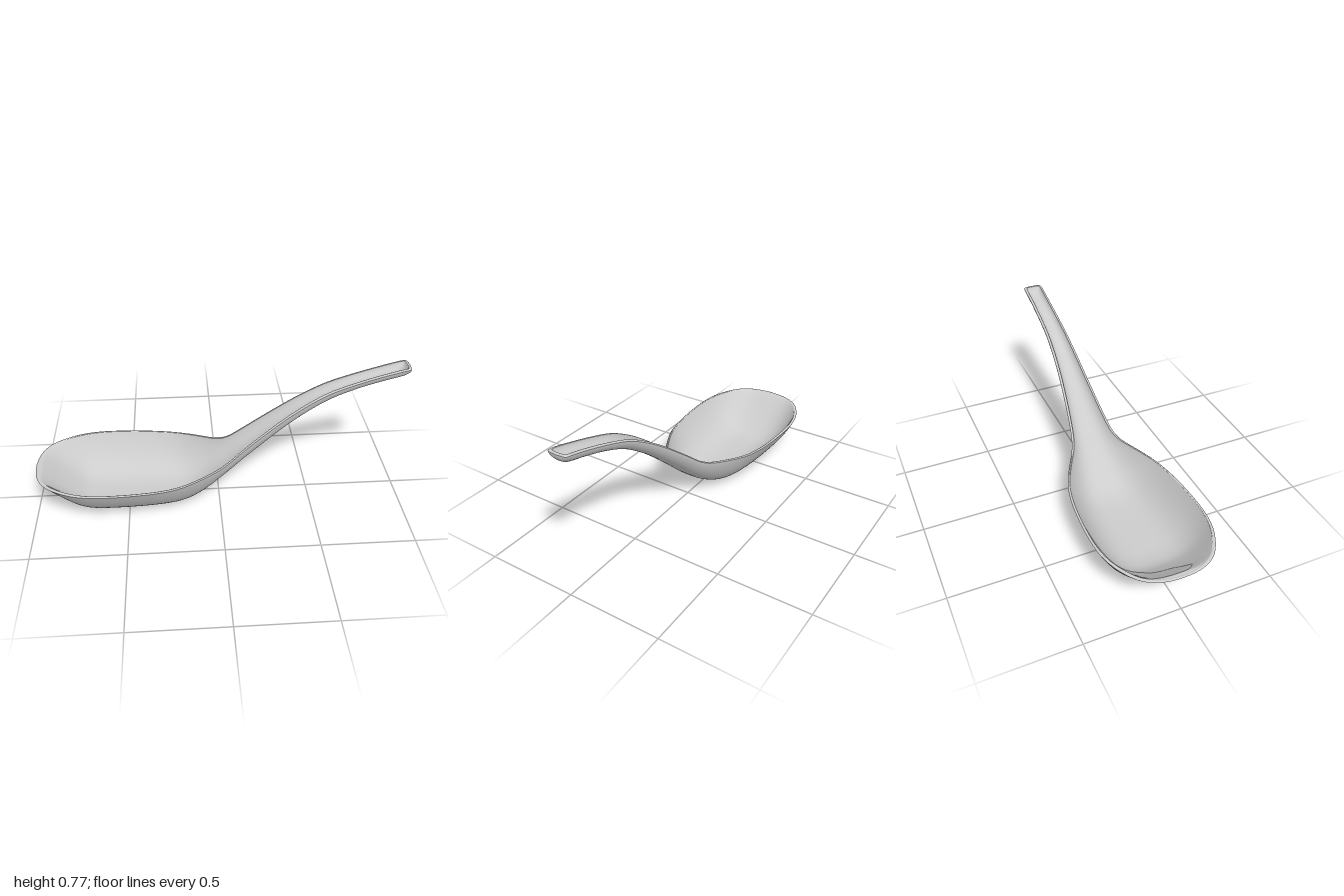
import * as THREE from 'three';

// Stations along the spoon: x, half width, rim height, underside height
const STATIONS = [
  [-1, 0, 0.222, 0.219], [-0.994, 0.07, 0.222, 0.212], [-0.975, 0.135, 0.222, 0.197],
  [-0.94, 0.19, 0.222, 0.167], [-0.89, 0.231, 0.222, 0.122], [-0.82, 0.268, 0.222, 0.066],
  [-0.75, 0.291, 0.222, 0.022], [-0.67, 0.303, 0.222, 0.004], [-0.57, 0.305, 0.222, 0.001],
  [-0.45, 0.299, 0.222, 0], [-0.33, 0.285, 0.222, 0.001], [-0.23, 0.262, 0.225, 0.007],
  [-0.15, 0.23, 0.232, 0.027], [-0.07, 0.189, 0.241, 0.07], [0, 0.15, 0.254, 0.124],
  [0.06, 0.124, 0.284, 0.174], [0.13, 0.108, 0.34, 0.238], [0.22, 0.094, 0.412, 0.317],
  [0.33, 0.08, 0.496, 0.412], [0.45, 0.069, 0.578, 0.505], [0.58, 0.061, 0.65, 0.588],
  [0.72, 0.057, 0.701, 0.648], [0.85, 0.055, 0.74, 0.688], [0.945, 0.055, 0.765, 0.713],
  [0.98, 0.054, 0.772, 0.729], [0.995, 0.046, 0.774, 0.748], [1, 0, 0.774, 0.764],
];
const ROWS = (STATIONS.length - 1) * 5;
const COLS = 40;
const WALL = 0.013;

const spline = new THREE.CubicInterpolant(
  STATIONS.map((s, i) => i), STATIONS.flat(), 4, new Float32Array(4));

function station(i) {
  const [x, w, rim, base] = spline.evaluate((i / ROWS) * (STATIONS.length - 1));
  return { x, w: Math.max(w, 0), rim, base: Math.max(base, 0) };
}

// Open section: flared in the bowl, blending to a rounder channel in the handle
function section(x, w, top, base, j) {
  const k = THREE.MathUtils.smoothstep(x, -0.3, 0.2);
  const power = THREE.MathUtils.lerp(3, 2.5, k);
  const round = THREE.MathUtils.lerp(1, 0.6, k);
  const t = Math.sin((j / COLS - 0.5) * Math.PI);
  const rise = 1 - Math.pow(Math.max(0, 1 - Math.pow(Math.abs(t), power)), round);
  return [x, base + (top - base) * rise, w * t];
}

function outerPoint(i, j) {
  const s = station(i);
  return section(s.x, s.w, Math.max(s.rim - 0.005, s.base), s.base, j);
}

function innerPoint(i, j) {
  const s = station(i);
  const top = s.rim - 0.002;
  return section(s.x * (1 - WALL), Math.max(s.w - WALL, 0), top, Math.min(s.base + 0.017, top), j);
}

// Rounded lip joining the outer and inner edges on one side
function lipPoint(side) {
  return (i, j) => {
    const edge = side > 0 ? COLS : 0;
    const a = outerPoint(i, edge), b = innerPoint(i, edge);
    const t = side > 0 ? j / 4 : 1 - j / 4;
    const p = a.map((v, n) => v + (b[n] - v) * t);
    p[1] += 0.004 * Math.sin(Math.PI * t);
    return p;
  };
}

// Surface grid from a point rule
function surface(name, cols, point, material, flip = false) {
  const positions = [], index = [];
  for (let i = 0; i <= ROWS; i++) {
    for (let j = 0; j <= cols; j++) {
      positions.push(...point(i, j));
      if (i === ROWS || j === cols) continue;
      const a = i * (cols + 1) + j, b = a + cols + 1;
      if (flip) index.push(a, a + 1, b, b, a + 1, b + 1);
      else index.push(a, b, a + 1, b, b + 1, a + 1);
    }
  }
  const geometry = new THREE.BufferGeometry();
  geometry.setAttribute('position', new THREE.Float32BufferAttribute(positions, 3));
  geometry.setIndex(index);
  geometry.computeVertexNormals();
  const mesh = new THREE.Mesh(geometry, material);
  mesh.name = name;
  return mesh;
}

export function createModel() {
  const ceramic = new THREE.MeshStandardMaterial({ color: 0xcccccc });
  ceramic.name = 'pale grey ceramic';
  const spoon = new THREE.Group();
  spoon.name = 'soupSpoon';
  spoon.add(
    surface('outerShell', COLS, outerPoint, ceramic),
    surface('innerShell', COLS, innerPoint, ceramic, true),
    surface('leftLip', 4, lipPoint(1), ceramic),
    surface('rightLip', 4, lipPoint(-1), ceramic),
  );
  return spoon;
}
